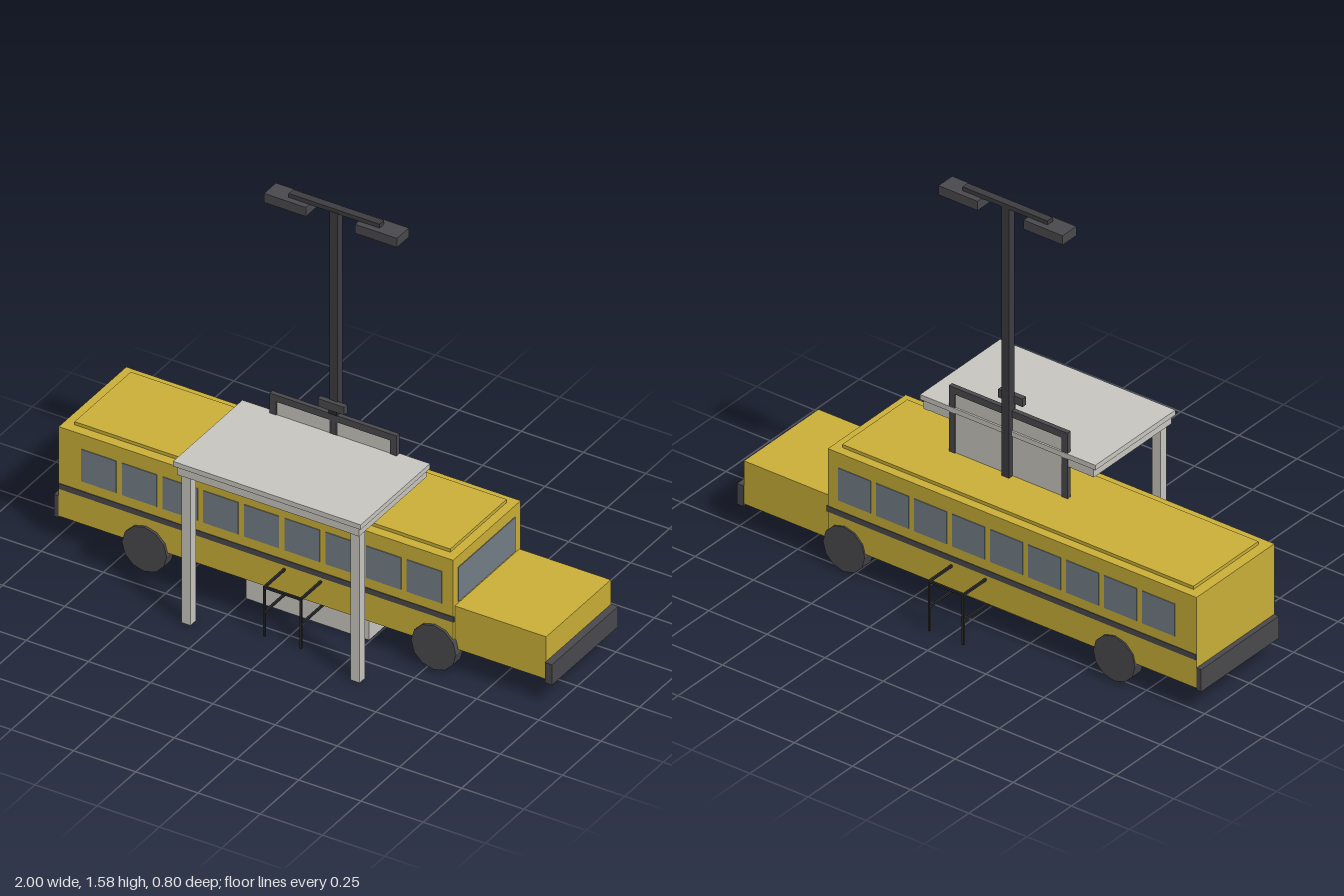
import * as THREE from 'three';

const mat = (name, color, side = THREE.FrontSide) => {
  const m = new THREE.MeshStandardMaterial({ color, side, flatShading: true });
  m.name = name;
  return m;
};

export function createModel() {
  const yellow = mat('busYellow', 0xcbb038, THREE.DoubleSide);
  const dark = mat('darkGrey', 0x4a494d);
  const pole = mat('poleCharcoal', 0x3d3c40);
  const black = mat('railBlack', 0x29292b);
  const grey = mat('lightGrey', 0xc9c7c0);
  const glass = mat('windowGlass', 0x747f86);
  const lens = mat('lampLens', 0x8f8462);

  const model = new THREE.Group();
  model.name = 'busStopWithBus';
  const group = (name) => {
    const g = new THREE.Group();
    g.name = name;
    model.add(g);
    return g;
  };

  // Box given by its limits on each axis
  const box = (parent, name, material, [x0, x1], [y0, y1], [z0, z1]) => {
    const mesh = new THREE.Mesh(new THREE.BoxGeometry(x1 - x0, y1 - y0, z1 - z0), material);
    mesh.position.set((x0 + x1) / 2, (y0 + y1) / 2, (z0 + z1) / 2);
    mesh.name = name;
    parent.add(mesh);
    return mesh;
  };
  // Same box without its bottom face
  const shell = (...args) => {
    const mesh = box(...args);
    const index = Array.from(mesh.geometry.index.array);
    index.splice(18, 6);
    mesh.geometry.setIndex(index);
    mesh.geometry.clearGroups();
    return mesh;
  };

  // Bus body, hood and bumpers
  const bus = group('bus');
  shell(bus, 'busBody', yellow, [-0.98, 0.605], [0.105, 0.47], [-0.27, 0.168]);
  box(bus, 'roofPanel', yellow, [-0.94, 0.57], [0.47, 0.483], [-0.235, 0.13]);
  shell(bus, 'hood', yellow, [0.605, 0.972], [0.105, 0.278], [-0.262, 0.157]);
  box(bus, 'frontBumper', dark, [0.972, 1], [0.095, 0.178], [-0.265, 0.165]);
  box(bus, 'rearBumper', dark, [-1, -0.98], [0.098, 0.187], [-0.27, 0.168]);
  box(bus, 'windshield', glass, [0.603, 0.608], [0.285, 0.425], [-0.232, 0.138]);

  // Side stripes, windows and wheels on both sides
  for (const s of [-1, 1]) {
    const z = -0.051 + s * 0.219;
    const plate = [z - 0.003, z + 0.003];
    box(bus, 'sideStripe', dark, [-0.98, 0.608], [0.218, 0.24], plate);
    for (let i = 0; i < 9; i++) {
      const x = -0.818 + i * 0.1635;
      box(bus, 'sideWindow', glass, [x - 0.07, x + 0.07], [0.28, 0.41], plate);
    }
    for (const x of [-0.63, 0.532]) {
      const wheel = new THREE.Mesh(new THREE.CylinderGeometry(0.09, 0.09, 0.05, 12), dark);
      wheel.rotation.x = Math.PI / 2;
      wheel.position.set(x, 0.095, -0.049 + s * 0.202);
      wheel.name = 'wheel';
      bus.add(wheel);
    }
  }

  // Canopy with edge beams on two posts
  const canopy = group('canopy');
  box(canopy, 'canopySlab', grey, [-0.377, 0.377], [0.645, 0.665], [-0.05, 0.4]);
  for (const s of [-1, 1]) {
    const x = s * 0.352;
    box(canopy, 'sideBeam', grey, [x - 0.014, x + 0.014], [0.61, 0.645], [-0.045, 0.393]);
    const z = 0.174 + s * 0.205;
    box(canopy, 'crossBeam', grey, [-0.34, 0.34], [0.611, 0.645], [z - 0.014, z + 0.014]);
    const px = s * 0.34;
    box(canopy, 'post', grey, [px - 0.018, px + 0.018], [0, 0.612], [0.341, 0.376]);
  }

  // Framed back panel
  const panel = group('backPanel');
  box(panel, 'panelSheet', grey, [-0.235, 0.235], [0.2, 0.73], [-0.043, -0.034]);
  box(panel, 'frameTop', dark, [-0.255, 0.255], [0.72, 0.747], [-0.048, -0.03]);
  for (const s of [-1, 1]) {
    const x = s * 0.242;
    box(panel, 'frameSide', dark, [x - 0.013, x + 0.013], [0.2, 0.72], [-0.048, -0.03]);
  }
  box(panel, 'centreStrip', dark, [-0.005, 0.005], [0.2, 0.72], [-0.034, -0.031]);
  for (const y of [0.557, 0.64]) {
    box(panel, 'crossStrip', dark, [-0.23, 0.23], [y - 0.003, y + 0.003], [-0.034, -0.032]);
  }

  // Lamp mast with two heads and a small sensor box
  const mast = group('lampMast');
  box(mast, 'mastPole', pole, [-0.016, 0.016], [0.02, 1.57], [-0.064, -0.032]);
  box(mast, 'lampArm', pole, [-0.183, 0.183], [1.566, 1.583], [-0.066, -0.036]);
  for (const s of [-1, 1]) {
    const x = s * 0.183;
    box(mast, 'lampHead', dark, [x - 0.084, x + 0.084], [1.53, 1.567], [-0.09, -0.013]);
    box(mast, 'lampLens', lens, [x - 0.074, x + 0.074], [1.526, 1.531], [-0.083, -0.02]);
  }
  box(mast, 'sensorBox', dark, [-0.053, 0.053], [0.77, 0.802], [-0.036, -0.016]);
  box(mast, 'sensorBracket', black, [-0.016, 0.016], [0.747, 0.77], [-0.036, -0.026]);

  // Bench and mast pedestal beneath the bus
  const base = group('base');
  box(base, 'bench', grey, [-0.25, 0.245], [0, 0.23], [0, 0.132]);
  box(base, 'pedestal', dark, [-0.18, 0.18], [0.004, 0.17], [-0.146, 0]);
  for (const s of [-1, 1]) {
    const x = s * 0.085;
    box(base, 'footFrameSide', grey, [x - 0.012, x + 0.012], [0, 0.006], [-0.125, -0.02]);
    const z = -0.072 + s * 0.045;
    box(base, 'footFrameEnd', grey, [-0.085, 0.085], [0, 0.006], [z - 0.01, z + 0.01]);
  }
  const foot = new THREE.Mesh(new THREE.CylinderGeometry(0.028, 0.028, 0.006, 12), pole);
  foot.position.set(0, 0.003, -0.072);
  foot.name = 'mastFoot';
  base.add(foot);

  // Handrails out from both sides of the bus
  for (const s of [-1, 1]) {
    const rail = group(s > 0 ? 'frontHandrail' : 'rearHandrail');
    const outer = -0.049 + s * 0.346;
    const inner = -0.049 + s * 0.2;
    const span = [Math.min(outer, inner), Math.max(outer, inner)];
    const thin = [outer - 0.004, outer + 0.004];
    box(rail, 'topBar', black, [-0.077, 0.077], [0.195, 0.204], thin);
    for (const x of [-0.073, 0.073]) {
      const w = [x - 0.004, x + 0.004];
      box(rail, 'leg', black, w, [0, 0.2], thin);
      box(rail, 'upperSideBar', black, w, [0.195, 0.204], span);
      box(rail, 'lowerSideBar', black, w, [0.093, 0.101], span);
    }
  }
  return model;
}
